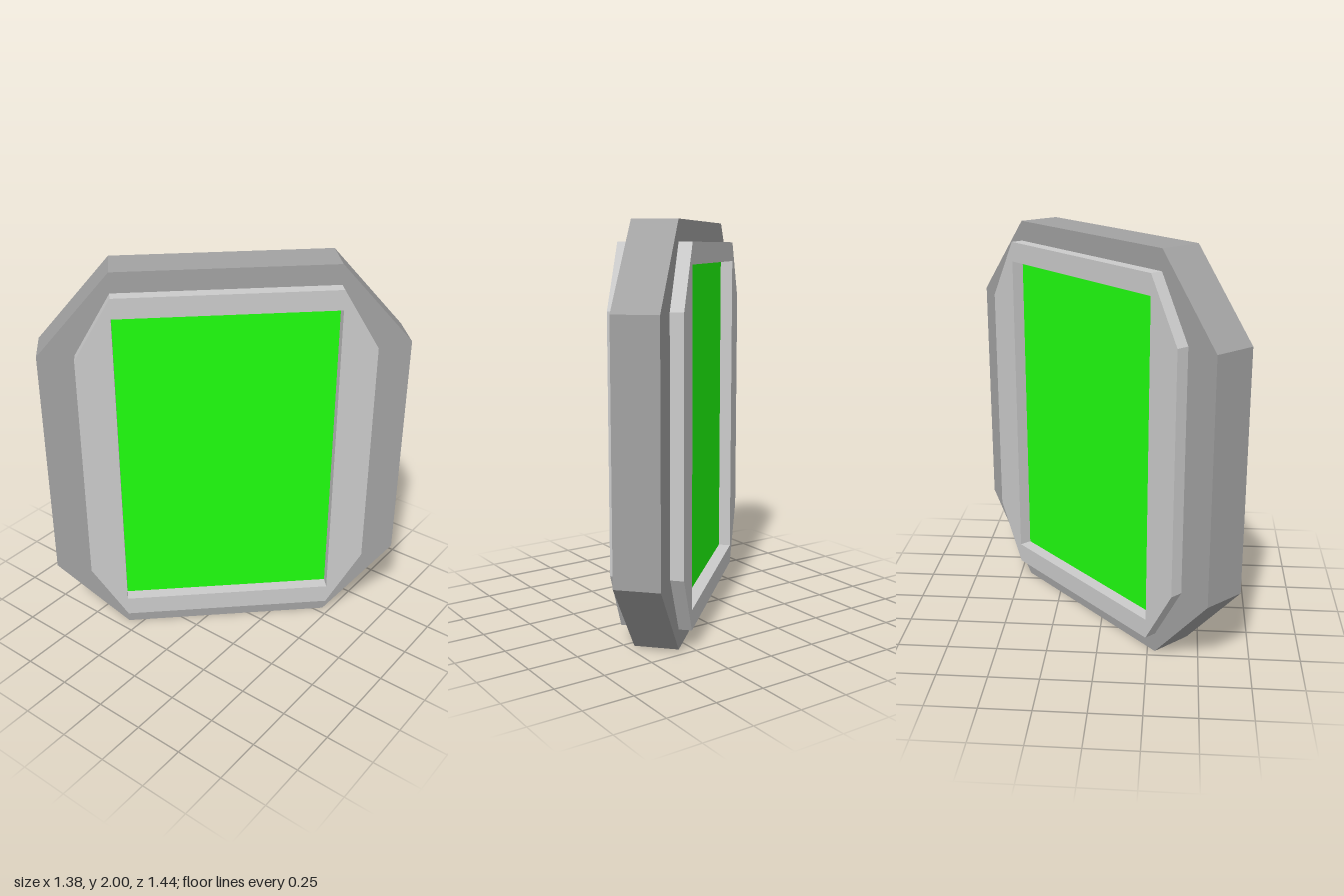
import * as THREE from 'three';

// Closed outline from corner points
const outline = (Type, pts) => new Type(pts.map(([x, y]) => new THREE.Vector2(x, y)));

// Eight-sided outline: half width, half width of the flat top, half height, half height of the sides
const octagon = (w, top, h, side) => [
  [-top, -h], [top, -h], [w, -side], [w, side],
  [top, h], [-top, h], [-w, side], [-w, -side],
];

// Plate with one opening, centred in depth
function ring(name, outer, inner, depth, color) {
  const shape = outline(THREE.Shape, outer);
  shape.holes.push(outline(THREE.Path, inner));
  const geometry = new THREE.ExtrudeGeometry(shape, { depth, bevelEnabled: false });
  geometry.translate(0, 0, -depth / 2);
  const mesh = new THREE.Mesh(geometry, new THREE.MeshStandardMaterial({ color, flatShading: true }));
  mesh.name = name;
  return mesh;
}

export function createModel() {
  const model = new THREE.Group();
  const panel = new THREE.Group();
  panel.name = 'panel';

  const w = 0.533, h = 0.8;
  const bezelOutline = octagon(0.711, w, 0.9, 0.6);
  const opening = [[-w, -h], [w, -h], [w, h], [-w, h]];

  // Darker outer frame around a thicker bezel
  panel.add(ring('outerFrame', octagon(0.888, w, 1, 0.6), bezelOutline, 0.217, 0xa2a2a2));
  panel.add(ring('bezel', bezelOutline, opening, 0.344, 0xcccccc));

  // Recessed pane, visible from both sides
  const pane = new THREE.Mesh(
    new THREE.BoxGeometry(w * 2, h * 2, 0.217),
    new THREE.MeshStandardMaterial({ color: 0x1fff0f, flatShading: true })
  );
  pane.name = 'pane';
  panel.add(pane);

  // The panel stands diagonally
  panel.position.y = 1;
  panel.rotation.y = -0.8137;
  model.add(panel);
  return model;
}
